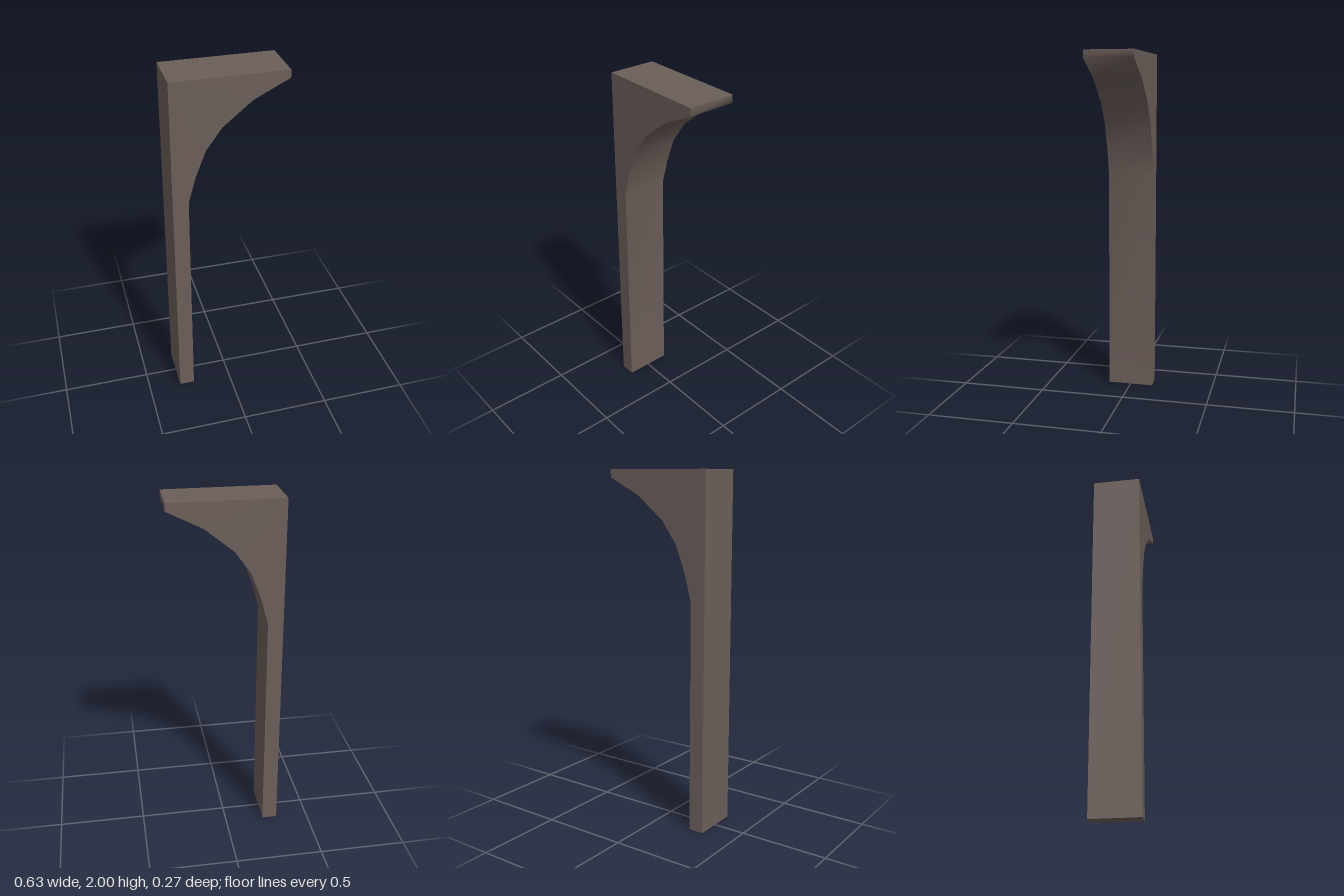
import * as THREE from 'three';
import { toCreasedNormals } from 'three/addons/utils/BufferGeometryUtils.js';

export function createModel() {
  const group = new THREE.Group();
  group.name = 'bracketPost';

  const halfWidth = 0.313, depth = 0.27, height = 2, postInner = -0.226;

  // Side profile: slim post flaring through a faceted curve into the top arm
  const underside = [
    [postInner, 1.31], [-0.185, 1.46], [-0.13, 1.605],
    [-0.04, 1.73], [0.12, 1.86], [halfWidth, 1.957],
  ];
  const profile = new THREE.Shape([
    [-halfWidth, 0], [postInner, 0], ...underside,
    [halfWidth, height], [-halfWidth, height],
  ].map(([x, y]) => new THREE.Vector2(x, y)));

  const extruded = new THREE.ExtrudeGeometry(profile, { depth, bevelEnabled: false });
  extruded.translate(0, 0, -depth / 2);

  // Smooth shading along the curve, square corners kept sharp
  const geometry = toCreasedNormals(extruded, 1.2);
  const bracket = new THREE.Mesh(geometry, new THREE.MeshStandardMaterial({ color: 0x6b5e59 }));
  bracket.name = 'postWithCurvedBracket';
  group.add(bracket);

  return group;
}
